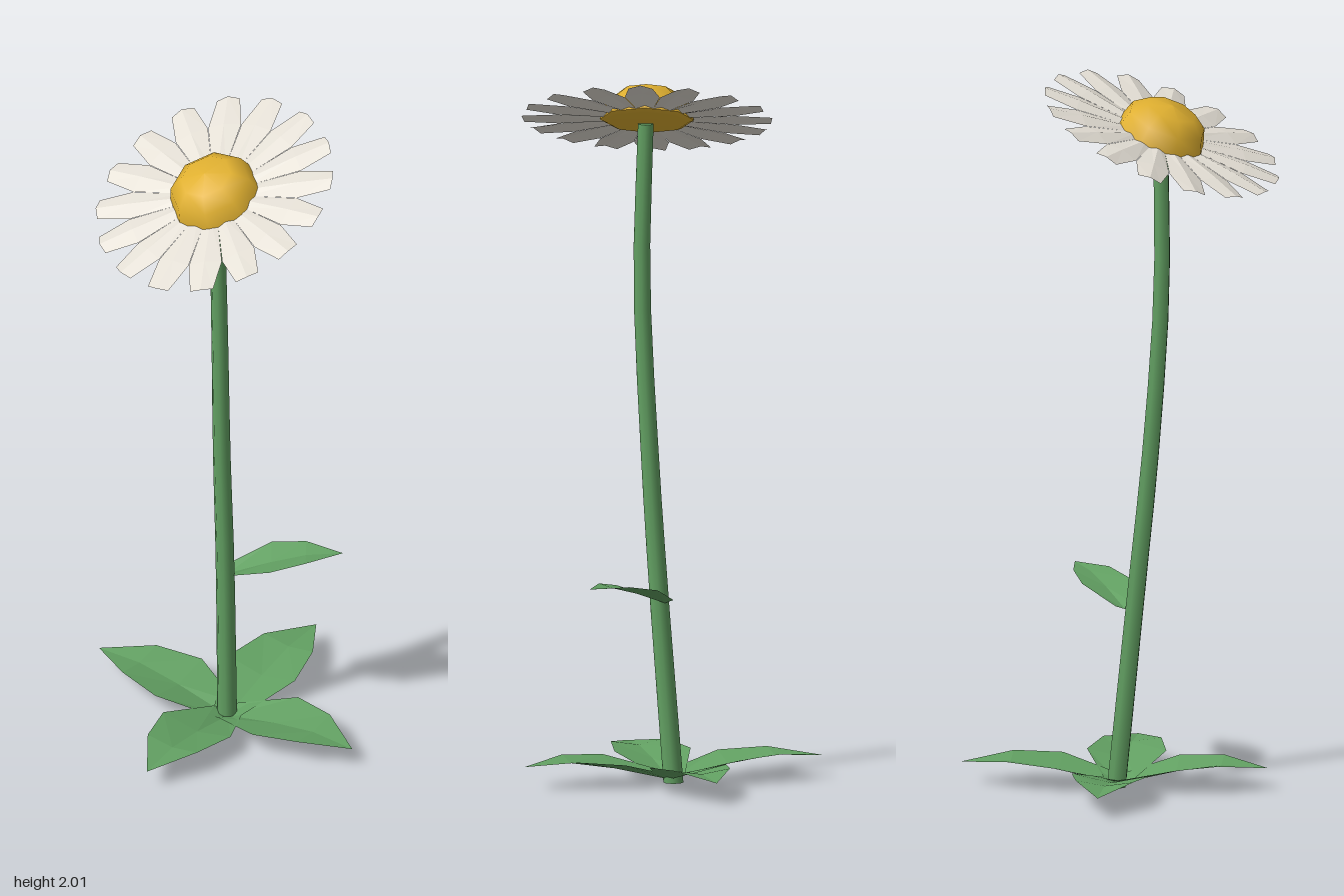
import * as THREE from 'three';

const leafGreen = new THREE.MeshStandardMaterial({ color: 0x62a062, side: THREE.DoubleSide });
leafGreen.name = 'leafGreen';
leafGreen.flatShading = true;
const stemGreen = new THREE.MeshStandardMaterial({ color: 0x62a062 });
stemGreen.name = 'stemGreen';
const petalWhite = new THREE.MeshStandardMaterial({ color: 0xe4dfd5, side: THREE.DoubleSide });
petalWhite.name = 'petalWhite';
petalWhite.flatShading = true;
const gold = new THREE.MeshStandardMaterial({ color: 0xe0b030 });
gold.name = 'gold';

// Creased blade along +z from sections [along, halfWidth, edgeY, midY, midAlong]
function bladeGeometry(sections) {
  const pos = [], index = [];
  for (const [z, w, edgeY, midY, midZ = z] of sections) {
    pos.push(-w, edgeY, z, 0, midY, midZ, w, edgeY, z);
  }
  for (let s = 0; s < sections.length - 1; s++) {
    for (let side = 0; side < 2; side++) {
      const a = s * 3 + side, b = a + 1, c = a + 3, d = a + 4;
      if (sections[s + 1][1] > 0) index.push(a, c, d, a, d, b);
      else index.push(a, c, b); // pointed tip
    }
  }
  const g = new THREE.BufferGeometry();
  g.setAttribute('position', new THREE.Float32BufferAttribute(pos, 3));
  g.setIndex(index);
  const flat = g.toNonIndexed();
  flat.computeVertexNormals();
  return flat;
}

function addMesh(parent, name, geometry, material) {
  const mesh = new THREE.Mesh(geometry, material);
  mesh.name = name;
  parent.add(mesh);
  return mesh;
}

export function createModel() {
  const model = new THREE.Group();
  model.name = 'daisy';

  // Tapered stem, bent along a gentle curve
  const path = new THREE.CatmullRomCurve3([
    [-0.01, 0, -0.005], [0.036, 0.57, 0.036], [0.062, 0.95, 0.066],
    [0.084, 1.42, 0.09], [0.073, 1.85, 0.092],
  ].map((p) => new THREE.Vector3(...p)));
  const stem = new THREE.CylinderGeometry(0.022, 0.028, 1, 8, 10);
  const sp = stem.attributes.position;
  for (let i = 0; i < sp.count; i++) {
    const p = path.getPoint(THREE.MathUtils.clamp(sp.getY(i) + 0.5, 0, 1));
    sp.setXYZ(i, sp.getX(i) + p.x, p.y, sp.getZ(i) + p.z);
  }
  addMesh(model, 'stem', stem, stemGreen);

  // Four leaves spread at the base, one smaller leaf on the stem
  const leafGeo = bladeGeometry([
    [0, 0.045, 0.025, 0.008],
    [0.17, 0.112, 0.07, 0.046],
    [0.305, 0.082, 0.079, 0.066],
    [0.445, 0, 0.06, 0.06],
  ]);
  const baseTips = [[-0.42, 0.14], [-0.155, -0.42], [0.4, -0.14], [0.15, 0.39]];
  for (const [x, z] of baseTips) {
    const leaf = addMesh(model, 'baseLeaf', leafGeo, leafGreen);
    leaf.rotation.y = Math.atan2(x, z);
    leaf.scale.z = Math.hypot(x, z) / 0.445;
  }
  const stemLeaf = addMesh(model, 'stemLeaf', leafGeo, leafGreen);
  stemLeaf.position.set(0.015, 0.5, 0.01);
  stemLeaf.rotation.order = 'YXZ';
  stemLeaf.rotation.set(-0.12, Math.atan2(0.61, -0.79), 0);
  stemLeaf.scale.set(0.68, 0.68, 0.74);

  // Flower head tilted toward the front
  const head = new THREE.Group();
  head.name = 'flowerHead';
  head.position.set(0.07, 1.865, 0.097);
  head.rotation.x = 0.4;
  model.add(head);

  // Ring of ridged petals that separate near the tips
  const petalGeo = bladeGeometry([
    [0.1, 0.02, -0.003, 0.003],
    [0.25, 0.049, -0.004, 0.006],
    [0.346, 0.034, -0.004, 0.004, 0.352],
  ]);
  const petalCount = 16;
  for (let i = 0; i < petalCount; i++) {
    const petal = addMesh(head, 'petal', petalGeo, petalWhite);
    petal.rotation.y = (i / petalCount) * Math.PI * 2;
  }

  // Eight-sided domed centre with a shallow underside
  const dome = [[0.132, -0.004], [0.116, 0.045], [0.074, 0.08], [0, 0.092]];
  const under = [[0, -0.012], [0.115, -0.012], [0.132, -0.004]];
  const lathe = (pts) => new THREE.LatheGeometry(pts.map((p) => new THREE.Vector2(...p)), 8);
  addMesh(head, 'flowerCentre', lathe(dome), gold);
  addMesh(head, 'flowerCentreUnderside', lathe(under), gold);

  return model;
}
